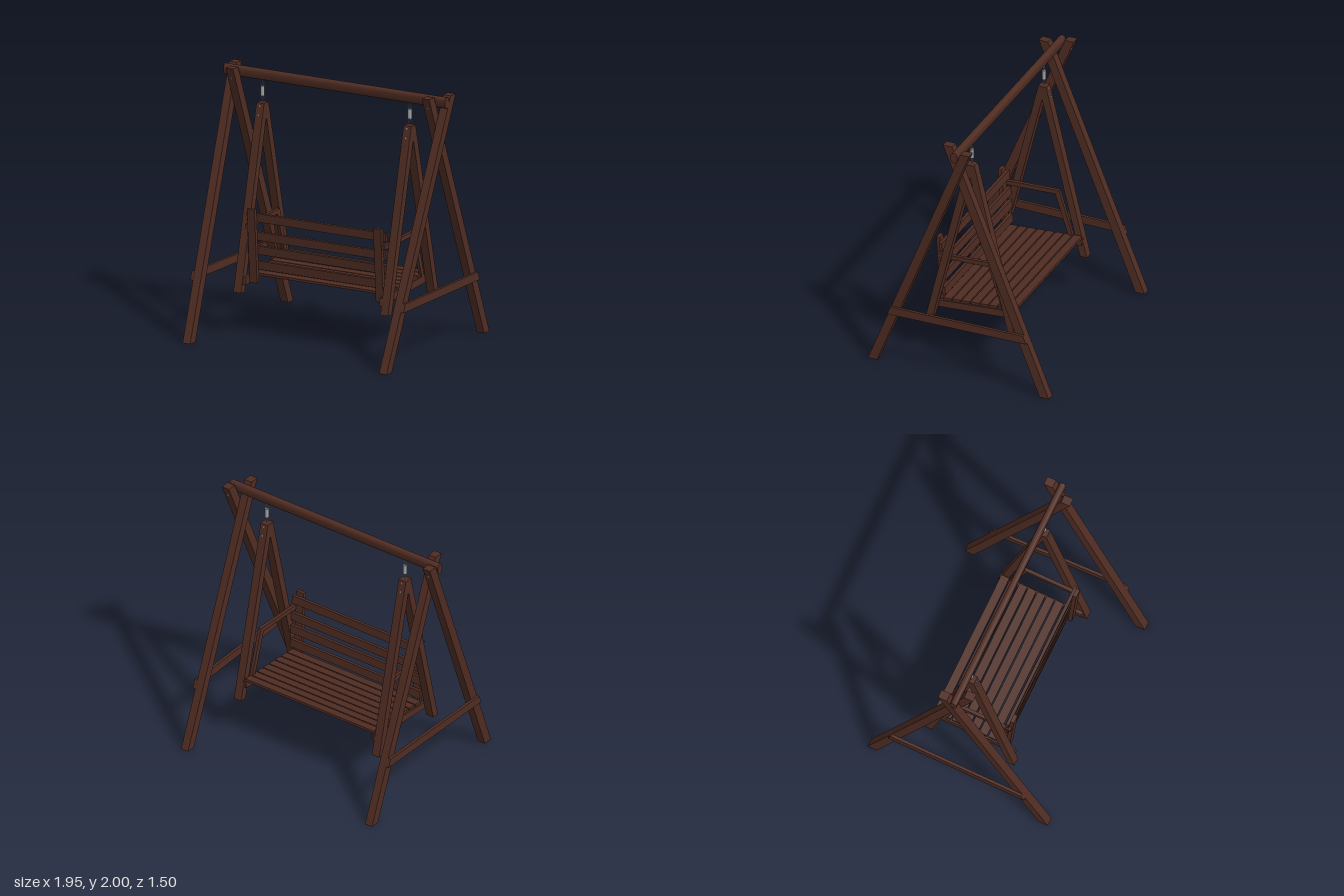
import * as THREE from 'three';
import { toCreasedNormals } from 'three/addons/utils/BufferGeometryUtils.js';

const wood = new THREE.MeshStandardMaterial({ color: 0x4f2c22 });
wood.name = 'dark stained wood';
const steel = new THREE.MeshStandardMaterial({ color: 0xa0a0a0 });
steel.name = 'steel';

// Extrudes a [z, y] side profile along x from x0 to x1
function plank(name, profile, x0, x1) {
  const shape = new THREE.Shape(profile.map(([z, y]) => new THREE.Vector2(-z, y)));
  const geo = new THREE.ExtrudeGeometry(shape, { depth: x1 - x0, bevelEnabled: false });
  geo.rotateY(Math.PI / 2).translate(x0, 0, 0);
  const mesh = new THREE.Mesh(geo, wood);
  mesh.name = name;
  return mesh;
}

// Same, placed on side s (+1 left, -1 right), leaning outward with height or depth
function sidePlank(name, s, profile, inner, outer, leanY = 0, leanZ = 0) {
  const mesh = plank(name, profile, s > 0 ? inner : -outer, s > 0 ? outer : -inner);
  const pos = mesh.geometry.attributes.position;
  for (let i = 0; i < pos.count; i++) {
    pos.setX(i, pos.getX(i) + s * (leanY * pos.getY(i) + leanZ * pos.getZ(i)));
  }
  mesh.geometry.computeVertexNormals();
  return mesh;
}

function steelPart(name, geo, x, y, z) {
  const mesh = new THREE.Mesh(geo, steel);
  mesh.name = name;
  mesh.position.set(x, y, z);
  return mesh;
}

function boltAlongZ(x, y, z, length) {
  const geo = new THREE.CylinderGeometry(0.007, 0.007, length, 12).rotateX(Math.PI / 2);
  return steelPart('bolt', geo, x, y, z);
}

export function createModel() {
  const model = new THREE.Group();
  model.name = 'gardenSwing';
  const frame = new THREE.Group();
  frame.name = 'frame';
  const swing = new THREE.Group();
  swing.name = 'swingBench';
  model.add(frame, swing);

  // Top beam with rounded upper and lower edges
  const oval = [];
  for (let i = 0; i < 24; i++) {
    const a = ((i + 0.5) / 24) * Math.PI * 2;
    oval.push([0.026 * Math.cos(a), 1.957 + 0.026 * Math.sin(a) + Math.sign(Math.sin(a)) * 0.017]);
  }
  const beam = plank('topBeam', oval, -0.975, 0.975);
  beam.geometry = toCreasedNormals(beam.geometry, 0.6);
  frame.add(beam);

  const legProfile = (f) => [[f * 0.748, 0], [f * 0.672, 0], [f * -0.127, 2], [f * -0.053, 2]];
  // Hanger board: vertical mitre on the centre line, slanting down to the bench
  const hangerProfile = (f) => [
    [0, 1.74], [f * 0.033, 1.74], [f * 0.37, 0.34], [f * 0.314, 0.34], [0, 1.63],
  ];

  for (const s of [1, -1]) {
    // A-frame
    frame.add(
      sidePlank('frontLeg', s, legProfile(1), 0.83, 0.897, 0.039),
      sidePlank('backLeg', s, legProfile(-1), 0.83, 0.895),
      sidePlank('legBrace', s,
        [[0.57, 0.445], [0.545, 0.51], [-0.545, 0.51], [-0.57, 0.445]], 0.905, 0.928, 0, 0.018),
      boltAlongZ(s * 0.863, 1.92, 0.055, 0.08),
      boltAlongZ(s * 0.937, 1.92, -0.058, 0.08),
    );

    // Spring and its links
    const spring = new THREE.Group();
    spring.name = 'springHanger';
    const x = s * 0.647;
    const ring = new THREE.TorusGeometry(0.013, 0.003, 8, 20);
    spring.add(
      steelPart('springBody', new THREE.CylinderGeometry(0.016, 0.016, 0.076, 20), x, 1.828, 0),
      steelPart('upperLink', ring, x, 1.882, 0),
      steelPart('lowerLink', ring, x, 1.773, 0),
      steelPart('upperEye', new THREE.CylinderGeometry(0.003, 0.003, 0.035, 8), x, 1.909, 0),
      steelPart('lowerEye', new THREE.CylinderGeometry(0.003, 0.003, 0.025, 8), x, 1.75, 0),
    );

    // Hanger boards, side rail, armrest and back post
    swing.add(
      spring,
      sidePlank('hangerBoard', s, hangerProfile(1), 0.613, 0.68),
      sidePlank('hangerBoard', s, hangerProfile(-1), 0.613, 0.68),
      boltAlongZ(x, 1.72, 0, 0.084),
      boltAlongZ(x, 1.65, 0, 0.118),
      sidePlank('seatRail', s,
        [[0.345, 0.402], [0.335, 0.46], [-0.345, 0.508], [-0.335, 0.45]], 0.587, 0.613),
      sidePlank('armrest', s,
        [[0.305, 0.832], [0.305, 0.867], [-0.155, 0.887], [-0.145, 0.85]], 0.587, 0.613),
      sidePlank('armSupport', s,
        [[-0.118, 0.855], [-0.155, 0.882], [-0.282, 0.46], [-0.245, 0.46]], 0.587, 0.613),
      sidePlank('backPost', s,
        [[0.255, 0.41], [0.285, 0.41], [0.324, 0.99], [0.294, 0.992]], 0.522, 0.588),
    );
  }

  // Tilted seat slats
  for (let i = 0; i < 8; i++) {
    const z = -0.302 + i * 0.0752;
    const slat = new THREE.Mesh(new THREE.BoxGeometry(1.204, 0.02, 0.066), wood);
    slat.name = 'seatSlat';
    slat.position.set(0, 0.494 - z * 0.07, z);
    slat.rotation.x = 0.07;
    swing.add(slat);
  }

  // Backrest slats on the sitting side of the posts
  for (const y of [0.548, 0.667, 0.778, 0.923]) {
    const slat = new THREE.Mesh(new THREE.BoxGeometry(1.22, 0.067, 0.025), wood);
    slat.name = 'backSlat';
    slat.position.set(0, y, 0.252 + (y - 0.548) * 0.067);
    slat.rotation.x = 0.067;
    swing.add(slat);
  }
  return model;
}
